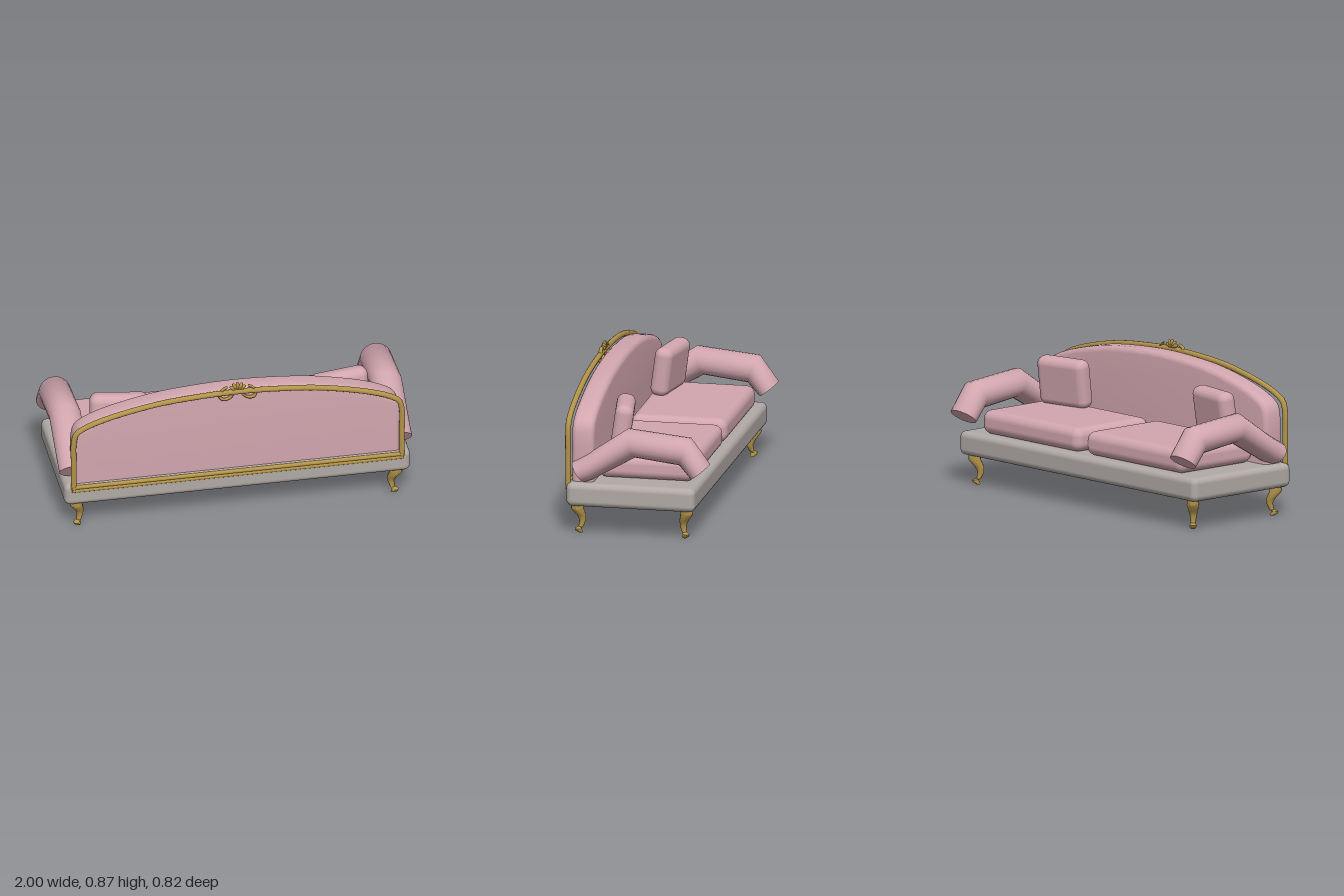
import * as THREE from 'three';
import { toCreasedNormals } from 'three/addons/utils/BufferGeometryUtils.js';
import { RoundedBoxGeometry } from 'three/addons/geometries/RoundedBoxGeometry.js';

const makeMaterial = (name, color) => {
  const m = new THREE.MeshStandardMaterial({ color });
  m.name = name;
  return m;
};

// Skin a list of rings; each ring has a centre c and two half-axes u and v
function loft(rings, sides) {
  const pos = [], idx = [];
  for (const { c, u, v } of rings) {
    for (let j = 0; j < sides; j++) {
      const a = (j / sides) * Math.PI * 2;
      const p = c.clone().addScaledVector(u, Math.cos(a)).addScaledVector(v, Math.sin(a));
      pos.push(p.x, p.y, p.z);
    }
  }
  for (let i = 0; i < rings.length - 1; i++) {
    for (let j = 0; j < sides; j++) {
      const a = i * sides + j, b = i * sides + (j + 1) % sides;
      idx.push(a, b, b + sides, a, b + sides, a + sides);
    }
  }
  // End caps
  const last = (rings.length - 1) * sides;
  for (let j = 1; j < sides - 1; j++) {
    idx.push(0, j + 1, j, last, last + j, last + j + 1);
  }
  const g = new THREE.BufferGeometry();
  g.setAttribute('position', new THREE.Float32BufferAttribute(pos, 3));
  g.setIndex(idx);
  return toCreasedNormals(g, 0.9);
}

export function createModel() {
  const group = new THREE.Group();
  const pink = makeMaterial('pink upholstery', 0xd2a6af);
  const grey = makeMaterial('grey base fabric', 0xb1aaa6);
  const gold = makeMaterial('gilded wood', 0xb4944a);
  const V = (x, y, z) => new THREE.Vector3(x, y, z);

  const add = (name, geometry, material, x = 0, y = 0, z = 0) => {
    const mesh = new THREE.Mesh(geometry, material);
    mesh.name = name;
    mesh.position.set(x, y, z);
    group.add(mesh);
    return mesh;
  };

  // Base
  add('base', new RoundedBoxGeometry(1.96, 0.135, 0.733, 4, 0.035), grey, 0, 0.2325, 0.032);

  // Cabriole legs: height, outward offset, radius
  const legProfile = [
    [0, -0.004, 0.012], [0.012, 0.004, 0.019], [0.024, 0.008, 0.019], [0.034, -0.006, 0.014],
    [0.07, -0.014, 0.019], [0.1, -0.008, 0.026], [0.14, 0.011, 0.036], [0.17, 0.011, 0.033],
  ];
  for (const sx of [-1, 1]) {
    for (const [z, sz] of [[0.334, 1], [-0.266, -1]]) {
      const rings = legProfile.map(([y, out, r]) => ({
        c: V(sx * (0.895 + out), y, z + sz * out), u: V(0, 0, r), v: V(r, 0, 0),
      }));
      add('leg', loft(rings, 12), gold);
    }
  }

  // Arched outline shared by the backrest and its frame
  const half = [[0.93, 0.275], [0.93, 0.44], [0.93, 0.575], [0.915, 0.635], [0.865, 0.67],
    [0.74, 0.716], [0.47, 0.775], [0.24, 0.798]];
  const outline = [...half, [0, 0.807], ...half.map(([x, y]) => [-x, y]).reverse()];
  const arch = new THREE.CatmullRomCurve3(outline.map(([x, y]) => V(x, y, 0)), false, 'centripetal');

  // Backrest cushion
  const shape = new THREE.Shape(arch.getPoints(64).map((p) => new THREE.Vector2(p.x * 0.965, p.y - 0.026)));
  const bevel = 0.03;
  const backGeometry = new THREE.ExtrudeGeometry(shape, {
    depth: 0.127 - 2 * bevel, bevelEnabled: true, bevelSize: bevel, bevelThickness: bevel, bevelSegments: 4,
  });
  add('backrest', toCreasedNormals(backGeometry, 0.6), pink, 0, 0, 0.249 + bevel);

  // Gilded frame round the backrest, with a double bottom rail
  add('backFrame', new THREE.TubeGeometry(arch, 96, 0.016, 10), gold, 0, 0, 0.393);
  for (const y of [0.265, 0.285]) {
    const rail = add('bottomRail', new THREE.CylinderGeometry(0.012, 0.012, 1.88, 10), gold, 0, y, 0.396);
    rail.rotation.z = Math.PI / 2;
  }

  // Crest ornament: two scrolls and a fan of leaves
  for (const s of [-1, 1]) {
    const scroll = add('crestScroll', new THREE.TorusGeometry(0.04, 0.008, 8, 24, 5.4), gold, s * 0.062, 0.8, 0.39);
    scroll.scale.set(1.1, 0.85, 1.4);
    scroll.rotation.set(0, s < 0 ? Math.PI : 0, 2.4);
  }
  for (let i = -2; i <= 2; i++) {
    const a = i * 0.6;
    const leaf = add('crestLeaf', new THREE.SphereGeometry(1, 10, 8), gold,
      Math.sin(a) * 0.025, 0.822 + Math.cos(a) * 0.018, 0.386);
    leaf.scale.set(0.011, 0.025, 0.013);
    leaf.rotation.z = -a;
  }

  // Arms: upper and lower edge of each cross-section as [z, y]
  const armSections = [
    [[0.37, 0.41], [0.295, 0.3]],
    [[0.275, 0.465], [0.255, 0.315]],
    [[0.057, 0.615], [0.01, 0.455]],
    [[-0.3, 0.58], [-0.24, 0.425]],
    [[-0.408, 0.432], [-0.305, 0.35]],
  ];
  for (const s of [-1, 1]) {
    const rings = armSections.map(([[z1, y1], [z0, y0]]) => ({
      c: V(0, (y0 + y1) / 2, (z0 + z1) / 2),
      u: V(0.09, 0, 0),
      v: V(0, (y1 - y0) / 2, (z1 - z0) / 2),
    }));
    // Rings run from back to seat front, so reverse to keep faces outward
    rings.forEach((r) => r.u.negate());
    add('arm', loft(rings, 20), pink, s * 0.91, 0, 0);
  }

  // Seat cushions and loose pillows
  for (const s of [-1, 1]) {
    add('seatCushion', new RoundedBoxGeometry(0.805, 0.135, 0.55, 5, 0.05), pink, s * 0.43, 0.3675, -0.025);
    const pillow = add('pillow', new RoundedBoxGeometry(0.33, 0.28, 0.105, 5, 0.045), pink, s * 0.625, 0.565, 0.146);
    pillow.rotation.set(-0.14, s * 0.17, 0, 'YXZ');
  }

  return group;
}
